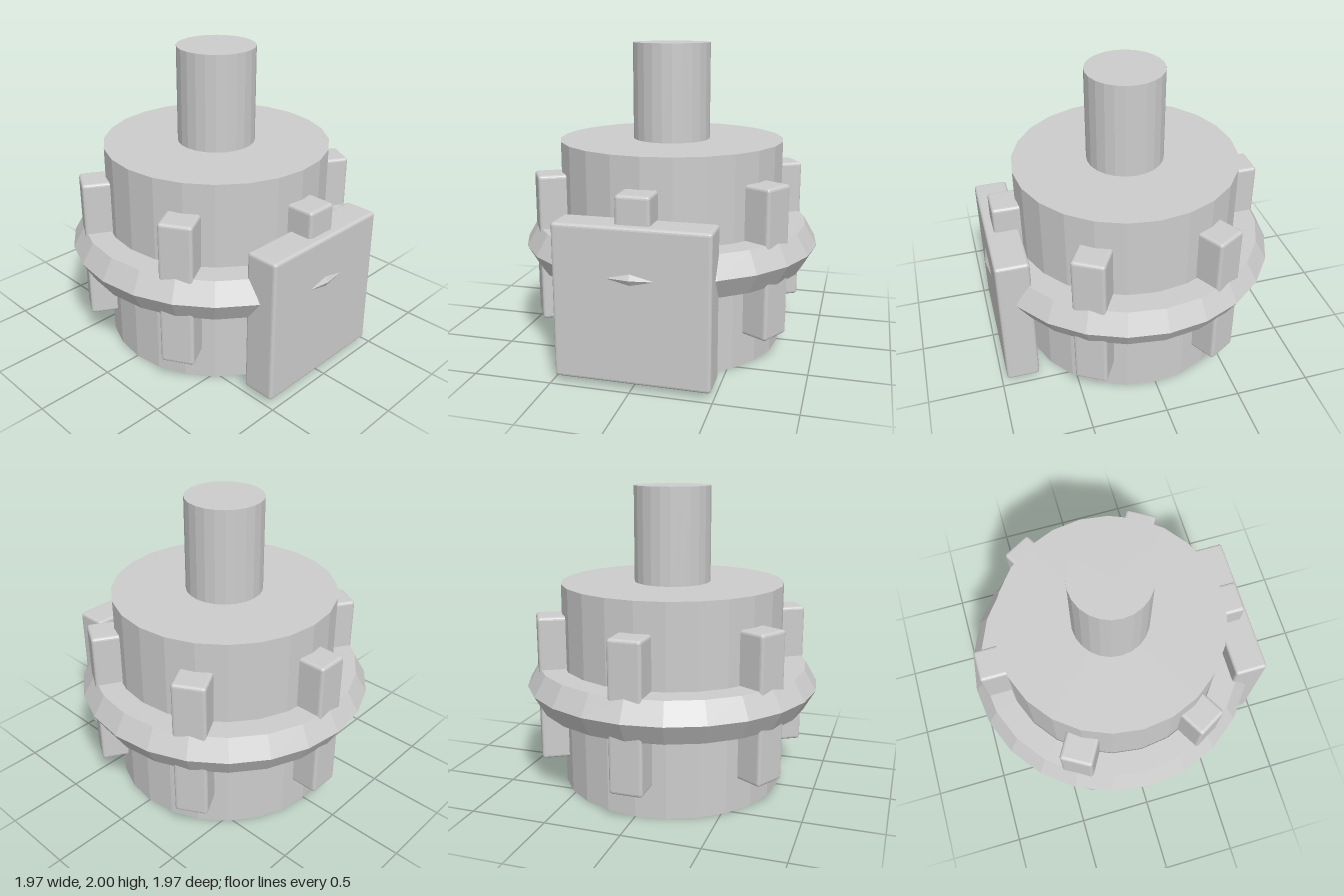
import * as THREE from 'three';
import { RoundedBoxGeometry } from 'three/addons/geometries/RoundedBoxGeometry.js';

export function createModel() {
  const group = new THREE.Group();
  const grey = new THREE.MeshStandardMaterial({ color: 0xcccccc, flatShading: true });
  grey.name = 'grey';

  const add = (name, geometry, x, y, z) => {
    const mesh = new THREE.Mesh(geometry, grey);
    mesh.name = name;
    mesh.position.set(x, y, z);
    group.add(mesh);
    return mesh;
  };

  // Main drum and the shaft rising from it
  add('drum', new THREE.CylinderGeometry(0.745, 0.745, 1.37, 24), 0, 0.685, 0);
  add('shaft', new THREE.CylinderGeometry(0.255, 0.255, 0.65, 24), 0, 1.675, 0);

  // Hexagonal-section band around the middle
  add('band', new THREE.TorusGeometry(0.83, 0.155, 6, 24).rotateX(Math.PI / 2), 0, 0.69, 0);

  // Six upright ribs spaced around the drum
  const ribGeometry = new RoundedBoxGeometry(0.215, 0.965, 0.215, 2, 0.02);
  for (let i = 0; i < 6; i++) {
    const a = (i * Math.PI) / 3;
    const rib = add('rib' + (i + 1), ribGeometry, 0.802 * Math.cos(a), 0.69, 0.802 * Math.sin(a));
    rib.rotation.y = -a;
  }

  // Side housing, just pierced by the band
  add('sideBox', new RoundedBoxGeometry(0.22, 0.965, 0.965, 2, 0.02), 0.855, 0.517, 0);

  return group;
}
